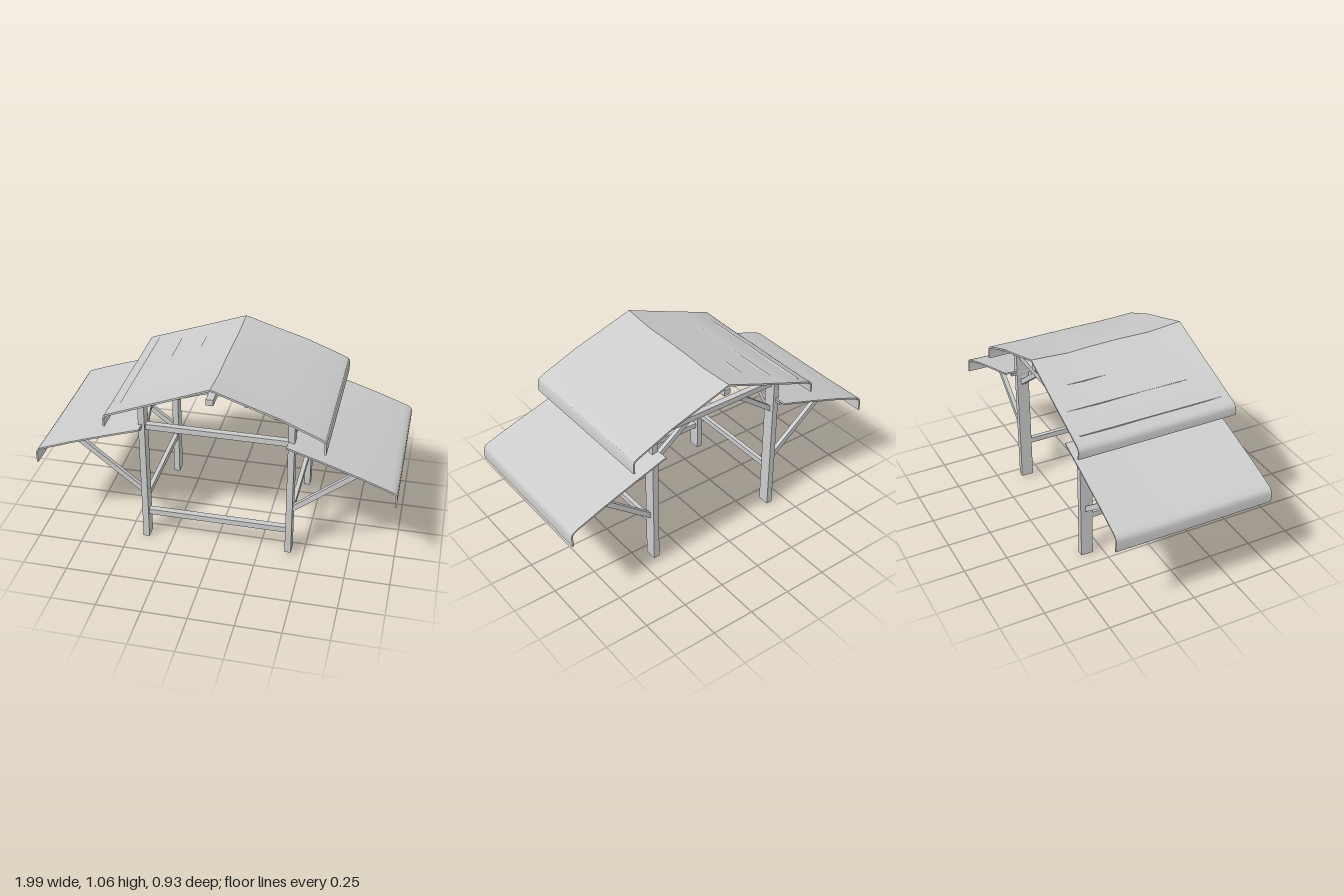
import * as THREE from 'three';
import { toCreasedNormals } from 'three/addons/utils/BufferGeometryUtils.js';

const grey = new THREE.MeshStandardMaterial({ color: 0xcccccc });
grey.name = 'plain grey';

// Square timber between two points; w is the sideways width, h the depth
function beam(name, a, b, w, h) {
  const from = new THREE.Vector3(...a), to = new THREE.Vector3(...b);
  const mesh = new THREE.Mesh(new THREE.BoxGeometry(w, h, from.distanceTo(to)), grey);
  mesh.position.copy(from).add(to).multiplyScalar(0.5);
  mesh.lookAt(to);
  mesh.name = name;
  return mesh;
}

// Thin roof sheet: an x/y profile (left to right) swept along z.
// Each row is [z, height offset]; low parts flare slightly past the high parts.
function roofSheet(name, profile, rows, thick, flare) {
  const n = profile.length;
  const under = profile.map((p, i) => {
    const a = profile[Math.max(i - 1, 0)], b = profile[Math.min(i + 1, n - 1)];
    const dx = b[0] - a[0], dy = b[1] - a[1], l = Math.hypot(dx, dy);
    return [p[0] + dy / l * thick, p[1] - dx / l * thick];
  });
  const section = [...profile].reverse().concat(under);
  const ys = profile.map(p => p[1]);
  const top = Math.max(...ys), range = top - Math.min(...ys);
  const point = (i, j) => {
    const [x, y] = section[i % section.length], [z, dy] = rows[j];
    const low = (top - y) / range;
    return [x, y + dy * (1 - low), z * (1 + flare * low)];
  };
  const pos = [];
  const quad = (a, b, c, d) => pos.push(...a, ...b, ...c, ...a, ...c, ...d);
  const last = rows.length - 1;
  for (let j = 0; j < last; j++)
    for (let i = 0; i < section.length; i++)
      quad(point(i, j), point(i + 1, j), point(i + 1, j + 1), point(i, j + 1));
  // End edges
  for (let i = 0; i < n - 1; i++) {
    const k = 2 * n - 1 - i;
    quad(point(i, last), point(i + 1, last), point(k - 1, last), point(k, last));
    quad(point(k, 0), point(k - 1, 0), point(i + 1, 0), point(i, 0));
  }
  const geo = new THREE.BufferGeometry();
  geo.setAttribute('position', new THREE.Float32BufferAttribute(pos, 3));
  const mesh = new THREE.Mesh(toCreasedNormals(geo, 0.55), grey);
  mesh.name = name;
  return mesh;
}

export function createModel() {
  const model = new THREE.Group();
  model.name = 'openShelter';
  const add = (...parts) => model.add(...parts);
  const FRONT = 0.335, BACK = -0.342;

  // Posts, with longitudinal rails and plates on each side
  for (const s of [-1, 1]) {
    const x = s < 0 ? -0.402 : 0.416;
    const foot = s < 0 ? 0 : 0.02;
    for (const z of [FRONT, BACK]) {
      const post = new THREE.Mesh(new THREE.BoxGeometry(0.035, 0.865 - foot, 0.07), grey);
      post.position.set(x, (0.865 + foot) / 2, z);
      post.name = 'post';
      add(post);

      // Outer brace, knee brace and rafters at each post
      add(beam('outerBrace', [x + s * 0.01, 0.305, z + 0.005], [x + s * 0.365, 0.59, z + 0.005], 0.025, 0.03));
      const inward = -Math.sign(z);
      add(beam('sideKneeBrace', [x, 0.67, z + inward * 0.03], [x, 0.84, z + inward * 0.2], 0.022, 0.025));
    }
    add(beam('sideRail', [x, 0.254, FRONT], [x, 0.254, BACK], 0.025, 0.033));
    add(beam('wallPlate', [x, 0.845, 0.37], [x, 0.845, -0.375], 0.028, 0.03));

    for (const z of [FRONT, 0, BACK]) {
      add(beam('lowerRafter', [s * 0.4, 0.72, z], [s * 0.915, 0.545, z], 0.025, 0.03));
      add(beam('upperRafter', [0, 1.003, z], [s * 0.53, 0.825, z], 0.025, 0.033));
    }
    // Purlins between the rafters and the sheets
    for (const t of [0.03, 0.5, 0.93])
      add(beam('lowerPurlin', [s * (0.4 + 0.515 * t), 0.738 - 0.175 * t, 0.4],
        [s * (0.4 + 0.515 * t), 0.738 - 0.175 * t, -0.41], 0.028, 0.014));
    for (const t of [0.35, 0.65, 0.95])
      add(beam('upperPurlin', [s * 0.53 * t, 1.025 - 0.18 * t, 0.41],
        [s * 0.53 * t, 1.025 - 0.18 * t, -0.42], 0.028, 0.014));

    // Back knee braces under the tie beam
    add(beam('backKneeBrace', [x - s * 0.01, 0.67, BACK], [x - s * 0.235, 0.84, BACK], 0.025, 0.028));

    // Lower side roof with a turned-down eave
    const half = [[0.4, 0.755], [0.6, 0.692], [0.8, 0.625], [0.955, 0.568], [0.98, 0.556],
      [0.99, 0.543], [0.994, 0.525], [0.992, 0.473]];
    const profile = s > 0 ? half : half.map(([px, py]) => [-px, py]).reverse();
    add(roofSheet('lowerRoof', profile,
      [[-0.45, 0.003], [-0.33, -0.004], [-0.2, -0.012], [0, -0.012], [0.2, -0.009], [0.32, -0.005], [0.432, -0.002]],
      0.009, 0.03));
  }

  // Cross beams between the posts
  add(beam('frontLowRail', [-0.4, 0.16, FRONT], [0.415, 0.16, FRONT], 0.035, 0.033));
  add(beam('frontTieBeam', [-0.4, 0.725, FRONT], [0.415, 0.725, FRONT], 0.035, 0.033));
  add(beam('backTieBeam', [-0.4, 0.847, BACK], [0.415, 0.847, BACK], 0.035, 0.033));
  add(beam('ridgeBeam', [0, 0.993, 0.467], [0, 0.993, -0.44], 0.04, 0.035));

  // Upper gable roof
  add(roofSheet('upperRoof',
    [[-0.586, 0.77], [-0.588, 0.81], [-0.583, 0.826], [-0.57, 0.838], [-0.4, 0.9], [-0.2, 0.972], [0, 1.046],
      [0.2, 0.982], [0.36, 0.933], [0.48, 0.885], [0.585, 0.843], [0.604, 0.832], [0.612, 0.816], [0.613, 0.758]],
    [[-0.452, 0], [-0.36, -0.004], [-0.24, -0.011], [-0.1, -0.004], [0.05, -0.001], [0.25, -0.004], [0.36, 0.006], [0.452, 0.015]],
    0.01, 0.028));
  return model;
}
